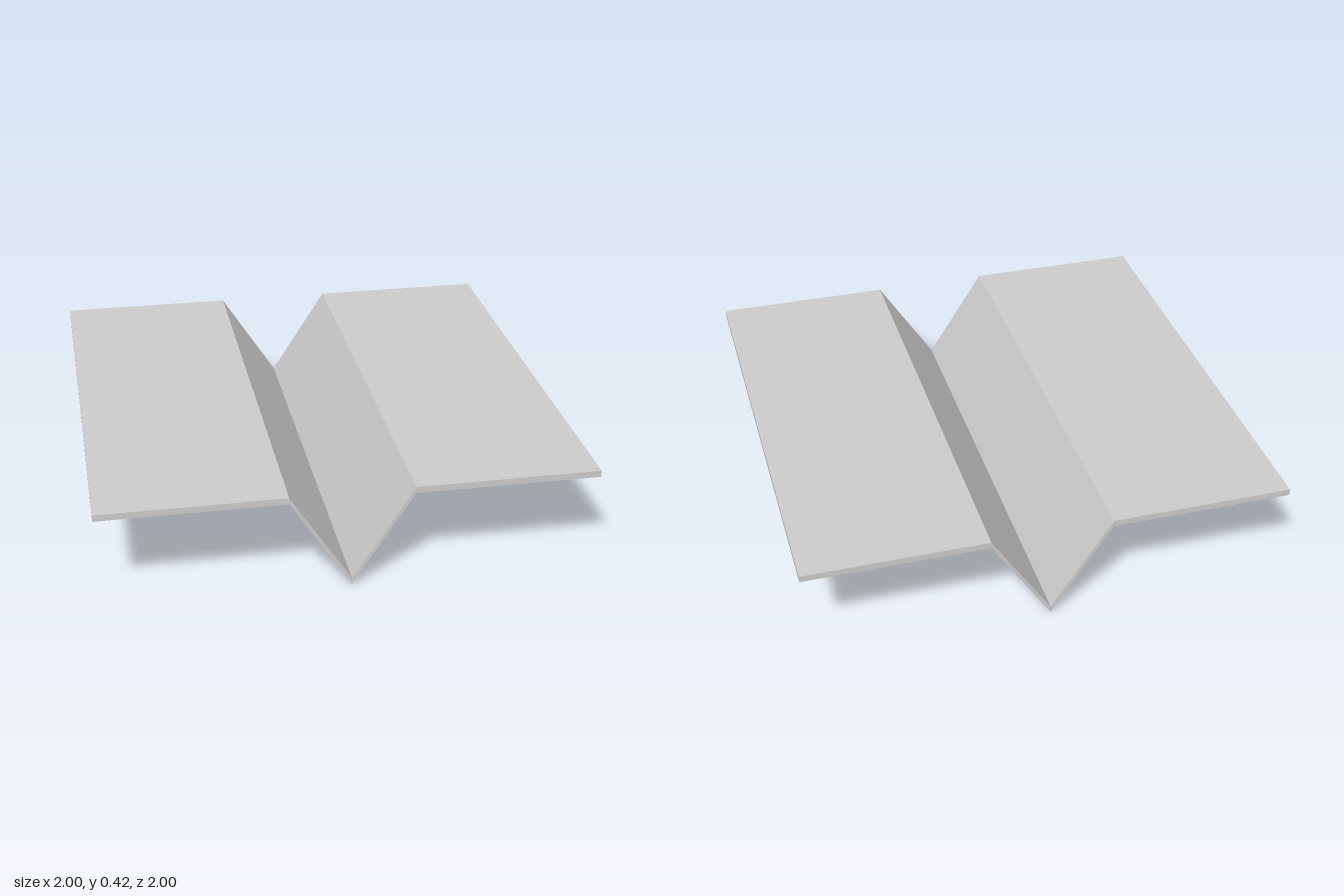
import * as THREE from 'three';

export function createModel() {
  const group = new THREE.Group();
  const thickness = 0.027;
  const depth = 2;

  // Fold line of the underside: flat wing, V valley, flat wing
  const fold = [[-1, 0.39], [-0.25, 0.39], [0, 0], [0.25, 0.39], [1, 0.39]];

  // Closed section: underside left to right, then the raised top side back
  const top = fold.map(([x, y]) => [x, y + thickness]).reverse();
  const section = new THREE.Shape([...fold, ...top].map(([x, y]) => new THREE.Vector2(x, y)));

  // Folded sheet running the full depth
  const geometry = new THREE.ExtrudeGeometry(section, { depth, bevelEnabled: false });
  geometry.translate(0, 0, -depth / 2);
  const sheet = new THREE.Mesh(
    geometry,
    new THREE.MeshStandardMaterial({ color: 0xcccccc, flatShading: true })
  );
  sheet.name = 'foldedSheet';
  group.add(sheet);
  return group;
}
